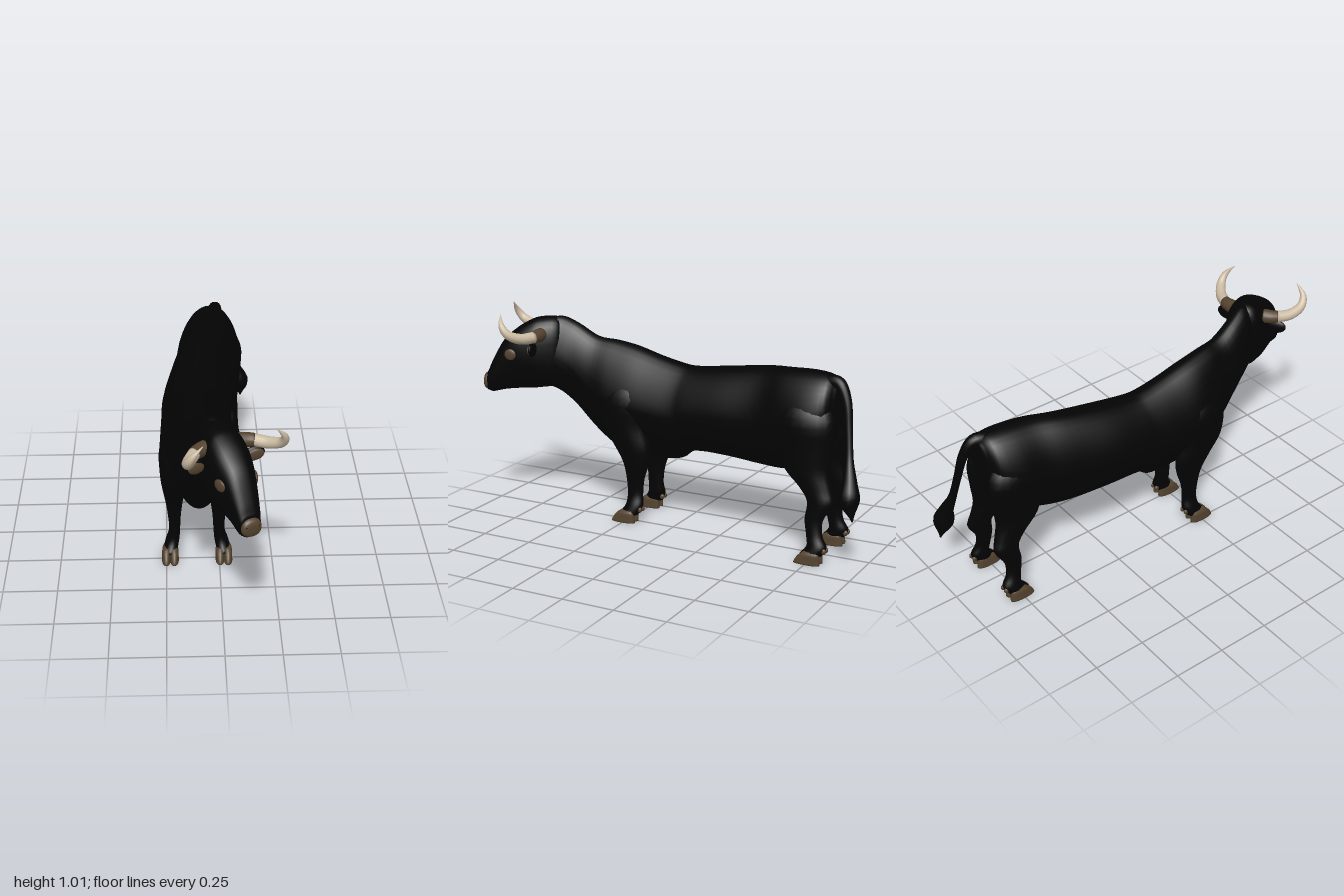
import * as THREE from 'three';

const material = (name, color) => {
  const m = new THREE.MeshStandardMaterial({ color });
  m.name = name;
  return m;
};

// Smooth closed skin over a list of rings, capped at both ends
function skin(rings) {
  const n = rings[0].length, pos = [], idx = [];
  rings.forEach(r => r.forEach(p => pos.push(p.x, p.y, p.z)));
  for (let i = 0; i < rings.length - 1; i++) {
    for (let j = 0; j < n; j++) {
      const k = (j + 1) % n, a = i * n + j, b = i * n + k;
      idx.push(a, b, b + n, a, b + n, a + n);
    }
  }
  const last = (rings.length - 1) * n;
  [rings[0], rings[rings.length - 1]].forEach((ring, e) => {
    const c = ring.reduce((s, p) => s.add(p), new THREE.Vector3()).divideScalar(n);
    const ci = pos.length / 3;
    pos.push(c.x, c.y, c.z);
    for (let j = 0; j < n; j++) {
      const k = (j + 1) % n;
      if (e) idx.push(ci, last + j, last + k);
      else idx.push(ci, k, j);
    }
  });
  const g = new THREE.BufferGeometry();
  g.setAttribute('position', new THREE.Float32BufferAttribute(pos, 3));
  g.setIndex(idx);
  g.computeVertexNormals();
  return g;
}

// Spline through stations [x, y, z, radiusA, radiusB, taper above, taper below]
function resample(stations, steps) {
  const path = new THREE.CatmullRomCurve3(stations.map(s => new THREE.Vector3(s[0], s[1], s[2])), false, 'catmullrom', 0.5);
  const size = new THREE.SplineCurve(stations.map(s => new THREE.Vector2(s[3], s[4] ?? s[3])));
  const taper = new THREE.SplineCurve(stations.map(s => new THREE.Vector2(s[5] ?? 0, s[6] ?? 0)));
  const count = (stations.length - 1) * steps, out = [];
  for (let i = 0; i <= count; i++) {
    const t = i / count, r = size.getPoint(t);
    out.push({
      p: path.getPoint(t), t: path.getTangent(t), taper: taper.getPoint(t),
      a: Math.max(r.x, 0.001), b: Math.max(r.y, 0.001),
    });
  }
  return out;
}

// Superellipse ring, narrowed towards +B and -B by its tapers
function ring(s, A, B, power, n) {
  const soft = v => Math.sign(v) * Math.abs(v) ** power;
  return Array.from({ length: n }, (_, j) => {
    const q = (j / n) * Math.PI * 2, h = Math.sin(q);
    const narrow = 1 - Math.abs(h) * (h > 0 ? s.taper.x : s.taper.y);
    return s.p.clone().addScaledVector(A, s.a * narrow * soft(Math.cos(q))).addScaledVector(B, s.b * soft(h));
  });
}

const X = new THREE.Vector3(1, 0, 0), Y = new THREE.Vector3(0, 1, 0), Z = new THREE.Vector3(0, 0, 1);

// Upright sections running back to front: [z, centre x, half width, top, bottom, tapers]
const loftForward = (rows, power) => skin(resample(
  rows.map(([z, x, w, top, bot, ...tapers]) => [x, (top + bot) / 2, z, w, (top - bot) / 2, ...tapers]), 4)
  .map(s => ring(s, X, Y, power, 32)));

// Level sections running downwards
const loftDown = (stations, power = 1) => skin(resample(stations, 4).map(s => ring(s, X, Z, power, 20)));

// Round sections following a curve
const sweep = (stations, ref) => skin(resample(stations, 5).map(s => {
  const N = ref.clone().cross(s.t).normalize();
  return ring(s, N, s.t.clone().cross(N).normalize(), 1, 16);
}));

export function createModel() {
  const bull = new THREE.Group();
  bull.name = 'bull';
  const black = material('black coat', 0x030303);
  const brown = material('brown skin and hoof', 0x54432f);
  const ivory = material('ivory horn', 0xcbbba3);

  const add = (parent, name, geometry, mat) => {
    const m = new THREE.Mesh(geometry, mat);
    m.name = name;
    parent.add(m);
    return m;
  };
  const blob = (parent, name, mat, p, scale, ry = 0, rz = 0) => {
    const m = add(parent, name, new THREE.SphereGeometry(1, 18, 12), mat);
    m.position.set(...p);
    m.scale.set(...scale);
    m.rotation.set(0, ry, rz);
    return m;
  };

  // Trunk and neck
  add(bull, 'body', loftForward([
    [-0.83, -0.01, 0.06, 0.815, 0.6, 0.1, 0.1], [-0.79, -0.015, 0.125, 0.845, 0.52, 0.15, 0.1],
    [-0.7, -0.023, 0.157, 0.855, 0.43, 0.2, 0.1], [-0.58, -0.036, 0.155, 0.85, 0.38, 0.2, 0.1],
    [-0.45, -0.068, 0.153, 0.838, 0.37, 0.22, 0.1], [-0.25, -0.09, 0.168, 0.808, 0.38, 0.25, 0.1],
    [-0.08, -0.1, 0.165, 0.786, 0.375, 0.3, 0.15], [0.0, -0.104, 0.165, 0.79, 0.325, 0.33, 0.3],
    [0.12, -0.105, 0.167, 0.815, 0.31, 0.36, 0.45], [0.25, -0.105, 0.167, 0.85, 0.315, 0.36, 0.45],
    [0.36, -0.097, 0.15, 0.87, 0.345, 0.36, 0.4], [0.46, -0.083, 0.115, 0.882, 0.425, 0.3, 0.3],
    [0.56, -0.068, 0.094, 0.938, 0.53, 0.25, 0.2], [0.64, -0.04, 0.092, 0.972, 0.6, 0.2, 0.1],
    [0.72, -0.005, 0.075, 0.95, 0.63, 0.2, 0.1],
  ], 0.92), black);

  // Legs, each side mirrored about the local body centre line
  const foreLeg = [
    [-0.035, 0.74, 0.25, 0.03, 0.06], [-0.005, 0.62, 0.265, 0.066, 0.125], [0, 0.48, 0.265, 0.063, 0.12],
    [0, 0.38, 0.223, 0.054, 0.098], [0, 0.3, 0.203, 0.042, 0.07], [0, 0.22, 0.206, 0.031, 0.047],
    [0, 0.14, 0.207, 0.026, 0.04], [0.01, 0.085, 0.207, 0.032, 0.045], [0.022, 0.04, 0.232, 0.034, 0.05],
  ];
  const hindLeg = [
    [0.03, 0.79, -0.69, 0.04, 0.07], [0.064, 0.66, -0.7, 0.077, 0.138], [0.068, 0.52, -0.705, 0.07, 0.13],
    [0.076, 0.42, -0.715, 0.057, 0.108], [0.085, 0.34, -0.765, 0.043, 0.077], [0.095, 0.28, -0.792, 0.036, 0.062],
    [0.105, 0.2, -0.768, 0.028, 0.043], [0.112, 0.13, -0.775, 0.027, 0.038], [0.118, 0.08, -0.79, 0.033, 0.047],
    [0.124, 0.04, -0.765, 0.036, 0.052],
  ];
  const legs = [['fore', foreLeg, -0.21, 0.252, 0.172], ['hind', hindLeg, -0.035, -0.755, -0.829]];
  for (const [kind, stations, sum, hoofZ, clawZ] of legs) {
    for (const side of ['left', 'right']) {
      const place = x => (side === 'left' ? x : sum - x);
      const leg = new THREE.Group();
      leg.name = `${side} ${kind} leg`;
      bull.add(leg);
      add(leg, 'leg', loftDown(stations.map(([x, ...rest]) => [place(x), ...rest])), black);
      const footX = place(stations[stations.length - 1][0]);
      const heelX = place(stations[stations.length - 2][0]);
      for (const e of [-1, 1]) {
        const x = footX + e * 0.019;
        add(leg, 'hoof claw', loftDown([
          [x - e * 0.002, 0.06, hoofZ - 0.018, 0.014, 0.034], [x, 0.045, hoofZ - 0.011, 0.019, 0.046],
          [x, 0.02, hoofZ - 0.002, 0.02, 0.058], [x, 0, hoofZ + 0.002, 0.021, 0.063],
        ], 0.85), brown);
        blob(leg, 'dewclaw', brown, [heelX + e * 0.013, 0.066, clawZ], [0.01, 0.014, 0.012]);
      }
    }
  }

  // Tail with its tuft
  add(bull, 'tail', sweep([
    [0, 0.812, -0.77, 0.034], [0.015, 0.815, -0.835, 0.029], [0.035, 0.74, -0.88, 0.022], [0.06, 0.62, -0.902, 0.018],
    [0.09, 0.5, -0.92, 0.019], [0.125, 0.41, -0.938, 0.033], [0.148, 0.33, -0.948, 0.047], [0.155, 0.238, -0.968, 0.003],
  ], X), black);

  // Head, turned towards the left
  const head = new THREE.Group();
  head.name = 'head';
  head.position.set(-0.003, 0, 0.73);
  head.rotation.y = THREE.MathUtils.degToRad(23.5);
  bull.add(head);
  add(head, 'skull', loftForward([
    [-0.12, 0, 0.05, 0.93, 0.68], [-0.08, 0, 0.085, 0.967, 0.63], [0, 0, 0.1, 0.965, 0.615, 0, 0.1],
    [0.05, 0, 0.101, 0.95, 0.61, 0, 0.2], [0.115, 0, 0.092, 0.912, 0.607, 0, 0.25], [0.185, 0, 0.072, 0.85, 0.6, 0, 0.15],
    [0.245, 0, 0.055, 0.745, 0.588], [0.27, 0, 0.046, 0.69, 0.595],
  ], 0.78), black);
  add(head, 'muzzle', loftForward([
    [0.264, 0, 0.045, 0.685, 0.599], [0.276, 0, 0.045, 0.683, 0.6], [0.287, 0, 0.037, 0.674, 0.608], [0.292, 0, 0.022, 0.66, 0.625],
  ], 0.9), brown);

  for (const s of [1, -1]) {
    const side = s > 0 ? 'left' : 'right';
    blob(head, `${side} nostril`, black, [s * 0.027, 0.652, 0.284], [0.006, 0.01, 0.006], s * 0.5);
    blob(head, `${side} eye`, brown, [s * 0.081, 0.79, 0.144], [0.01, 0.028, 0.031], -s * 0.28);
    blob(head, `${side} ear`, black, [s * 0.132, 0.828, 0.025], [0.05, 0.034, 0.015], -s * 0.15, s * 0.12);
    blob(head, `${side} inner ear`, brown, [s * 0.136, 0.827, 0.034], [0.04, 0.027, 0.01], -s * 0.15, s * 0.12);
    const ref = new THREE.Vector3(-0.12 * s, -0.42, 0.6);
    const mirror = pts => pts.map(([x, ...rest]) => [s * x, ...rest]);
    add(head, `${side} horn base`, sweep(mirror([
      [0.075, 0.89, -0.006, 0.034], [0.11, 0.889, 0.004, 0.032], [0.14, 0.889, 0.02, 0.0285],
    ]), ref), brown);
    add(head, `${side} horn`, sweep(mirror([
      [0.135, 0.889, 0.016, 0.0275], [0.183, 0.89, 0.067, 0.026], [0.213, 0.913, 0.122, 0.022],
      [0.208, 0.957, 0.156, 0.015], [0.167, 1.005, 0.167, 0.002],
    ]), ref), ivory);
  }
  return bull;
}
